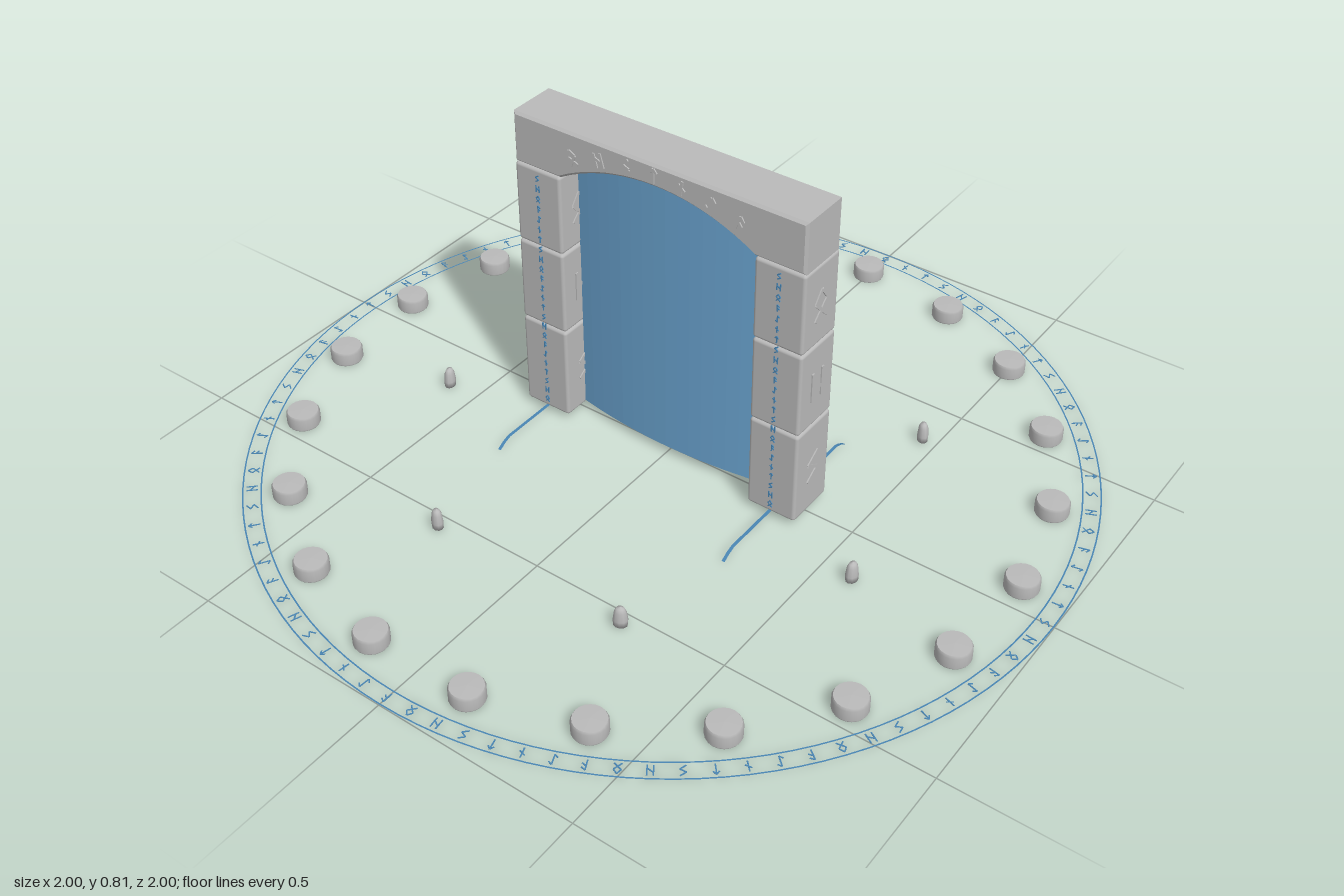
import * as THREE from 'three';
import { mergeGeometries } from 'three/addons/utils/BufferGeometryUtils.js';
import { RoundedBoxGeometry } from 'three/addons/geometries/RoundedBoxGeometry.js';

const mat = (name, color, extra = {}) => new THREE.MeshStandardMaterial({ name, color, ...extra });

// Angular carved signs as strokes [x1, y1, x2, y2] in a unit cell
const SIGNS = [
  [[-.3, .1, 0, .5], [0, .5, .3, .1], [.3, .1, -.3, -.5], [-.3, .1, .3, -.5]],
  [[-.25, -.5, -.25, .5], [.25, -.5, .25, .5], [-.25, .2, .25, -.2]],
  [[.25, .5, -.25, .15], [-.25, .15, .25, -.15], [.25, -.15, -.25, -.5]],
  [[0, -.5, 0, .5], [-.25, .2, 0, .5], [.25, .2, 0, .5]],
  [[0, -.5, 0, .5], [-.25, .2, .25, -.15]],
  [[0, -.5, 0, .5], [0, .5, .3, .25], [0, -.5, -.3, -.25]],
  [[-.1, -.5, -.1, .5], [-.1, .5, .25, .25], [-.1, .1, .25, -.15]],
];

// One sign in the XY plane, facing +z
function sign(i, size, width, depth) {
  return mergeGeometries(SIGNS[i % SIGNS.length].map(([x1, y1, x2, y2]) => {
    const dx = (x2 - x1) * size, dy = (y2 - y1) * size;
    return new THREE.BoxGeometry(Math.hypot(dx, dy), width, depth)
      .rotateZ(Math.atan2(dy, dx))
      .translate((x1 + x2) / 2 * size, (y1 + y2) / 2 * size, 0);
  }));
}

const SPAN = 0.26, SPRING = 0.685, RISE = 0.072;
const R = (SPAN * SPAN + RISE * RISE) / (2 * RISE);
const archY = x => SPRING + RISE - R + Math.sqrt(R * R - x * x);

// Lens-shaped sheet filling the doorway: front and back both bulge
function portalGeometry() {
  const n = 16, pos = [], idx = [];
  for (const s of [1, -1]) {
    const base = pos.length / 3;
    for (let i = 0; i <= n; i++) {
      const u = -1 + 2 * i / n, x = u * SPAN, z = s * 0.025 * (1 - u * u);
      pos.push(x, 0.022, z, x, archY(x), z);
      if (i < n) {
        const a = base + 2 * i;
        idx.push(...(s > 0 ? [a, a + 2, a + 1, a + 1, a + 2, a + 3] : [a, a + 1, a + 2, a + 1, a + 3, a + 2]));
      }
    }
  }
  // Close top and bottom between both faces
  const off = 2 * (n + 1);
  for (let i = 0; i < n; i++) {
    const a = 2 * i, b = a + off;
    idx.push(a, b, a + 2, b, b + 2, a + 2, a + 1, a + 3, b + 1, b + 1, a + 3, b + 3);
  }
  const g = new THREE.BufferGeometry();
  g.setAttribute('position', new THREE.Float32BufferAttribute(pos, 3));
  g.setIndex(idx);
  const flat = g.toNonIndexed();
  flat.computeVertexNormals();
  return flat;
}

export function createModel() {
  const root = new THREE.Group();
  root.name = 'stoneGate';
  const stone = mat('stone', 0xbababa);
  const blue = mat('portalBlue', 0x6aa3cf, { side: THREE.DoubleSide });
  const glow = mat('runeBlue', 0x4a86b4, { side: THREE.DoubleSide });
  const add = (name, geo, material, parent = root) => {
    const m = new THREE.Mesh(geo, material);
    m.name = name;
    parent.add(m);
    return m;
  };

  // Pillars of three blocks, with carvings on both sides and small signs front and back
  const joints = [0.015, 0.26, 0.478, 0.685];
  for (const s of [1, -1]) {
    const pillar = new THREE.Group();
    pillar.name = s > 0 ? 'leftPillar' : 'rightPillar';
    root.add(pillar);
    const carved = [], small = [];
    for (let i = 0; i < 3; i++) {
      const h = joints[i + 1] - joints[i], y = joints[i] + h / 2;
      add('pillarBlock', new RoundedBoxGeometry(0.127, h - 0.002, 0.132, 2, 0.008), stone, pillar)
        .position.set(s * 0.3225, y, 0);
      for (const side of [1, -1]) {
        carved.push(sign(2 - i + (side > 0 ? 0 : 3), 0.075, 0.008, 0.006)
          .rotateY(side * Math.PI / 2).translate(s * 0.3225 + side * 0.0635, y, 0));
      }
    }
    for (let i = 0; i < 24; i++) {
      for (const f of [1, -1]) {
        small.push(sign(i, 0.017, 0.0025, 0.003)
          .rotateY(f > 0 ? 0 : Math.PI).translate(s * 0.322, 0.04 + i * 0.027, f * 0.0665));
      }
    }
    add('pillarCarvings', mergeGeometries(carved), stone, pillar);
    add('pillarSmallSigns', mergeGeometries(small), glow, pillar);

    // Thin flat strips running out at the foot and bending to the ground
    for (const f of [1, -1]) {
      const strip = new THREE.PlaneGeometry(0.008, 0.19, 1, 10).rotateX(-Math.PI / 2);
      const p = strip.attributes.position;
      for (let i = 0; i < p.count; i++) {
        const z = p.getZ(i) + 0.155;
        const t = Math.max(0, (z - 0.22) / 0.03);
        p.setXYZ(i, p.getX(i) + s * 0.322, 0.02 - 0.018 * t, f * z);
      }
      strip.computeVertexNormals();
      add('groundStrip', strip, glow, pillar);
    }
  }

  // Lintel with arched underside
  const b = 0.006;
  const shape = new THREE.Shape();
  shape.moveTo(-0.385 + b, SPRING + b);
  shape.lineTo(-SPAN - b, SPRING + b);
  for (let i = 0; i <= 20; i++) {
    const x = -SPAN + 2 * SPAN * i / 20;
    shape.lineTo(x, archY(x) + b);
  }
  shape.lineTo(SPAN + b, SPRING + b);
  shape.lineTo(0.385 - b, SPRING + b);
  shape.lineTo(0.385 - b, 0.812 - b);
  shape.lineTo(-0.385 + b, 0.812 - b);
  const depth = 0.132 - 2 * b;
  add('lintel', new THREE.ExtrudeGeometry(shape, {
    depth, bevelEnabled: true, bevelSize: b, bevelThickness: b, bevelSegments: 1,
  }).translate(0, 0, -depth / 2), stone);

  // Carvings following the arch
  const arcSigns = [];
  for (const f of [1, -1]) {
    for (let i = 0; i < 7; i++) {
      const u = (i - 3) / 3;
      arcSigns.push(sign(i + (f > 0 ? 0 : 2), 0.036, 0.006, 0.006)
        .rotateZ(-u * 0.4)
        .translate(u * 0.22, 0.785 - 0.034 * u * u, 0.066)
        .rotateY(f > 0 ? 0 : Math.PI));
    }
  }
  add('lintelCarvings', mergeGeometries(arcSigns), stone);

  add('portal', portalGeometry(), blue);

  // Ground circle: two fine rings with signs between them
  for (const [r0, r1] of [[0.9965, 1], [0.955, 0.9585]]) {
    add('groundRing', new THREE.RingGeometry(r0, r1, 128).rotateX(-Math.PI / 2).translate(0, 0.002, 0), glow);
  }
  const ringSigns = [];
  for (let i = 0; i < 96; i++) {
    ringSigns.push(sign(i, 0.026, 0.003, 0.001)
      .rotateX(-Math.PI / 2).translate(0, 0.002, -0.977).rotateY(i / 96 * Math.PI * 2));
  }
  add('groundSigns', mergeGeometries(ringSigns), glow);

  // Outer circle of low round stones
  const profile = (pts, n) => new THREE.LatheGeometry(pts.map(p => new THREE.Vector2(...p)), n);
  const lowStone = profile([[0, 0], [0.038, 0], [0.038, 0], [0.04, 0.004], [0.04, 0.031],
    [0.037, 0.037], [0.037, 0.037], [0, 0.038]], 20);
  for (let i = 0; i < 21; i++) {
    const a = i / 21 * Math.PI * 2;
    add('roundStone', lowStone, stone).position.set(Math.sin(a) * 0.89, 0, -Math.cos(a) * 0.89);
  }

  // Inner circle of small standing stones
  const standing = profile([[0, 0.004], [0.016, 0.004], [0.017, 0.02], [0.014, 0.042],
    [0.009, 0.052], [0, 0.055]], 10).scale(1, 1, 0.8);
  for (let i = 0; i < 7; i++) {
    const a = i / 7 * Math.PI * 2;
    const m = add('standingStone', standing, stone);
    m.position.set(Math.sin(a) * 0.595, 0, -Math.cos(a) * 0.595);
    m.rotation.y = -a;
  }
  return root;
}
